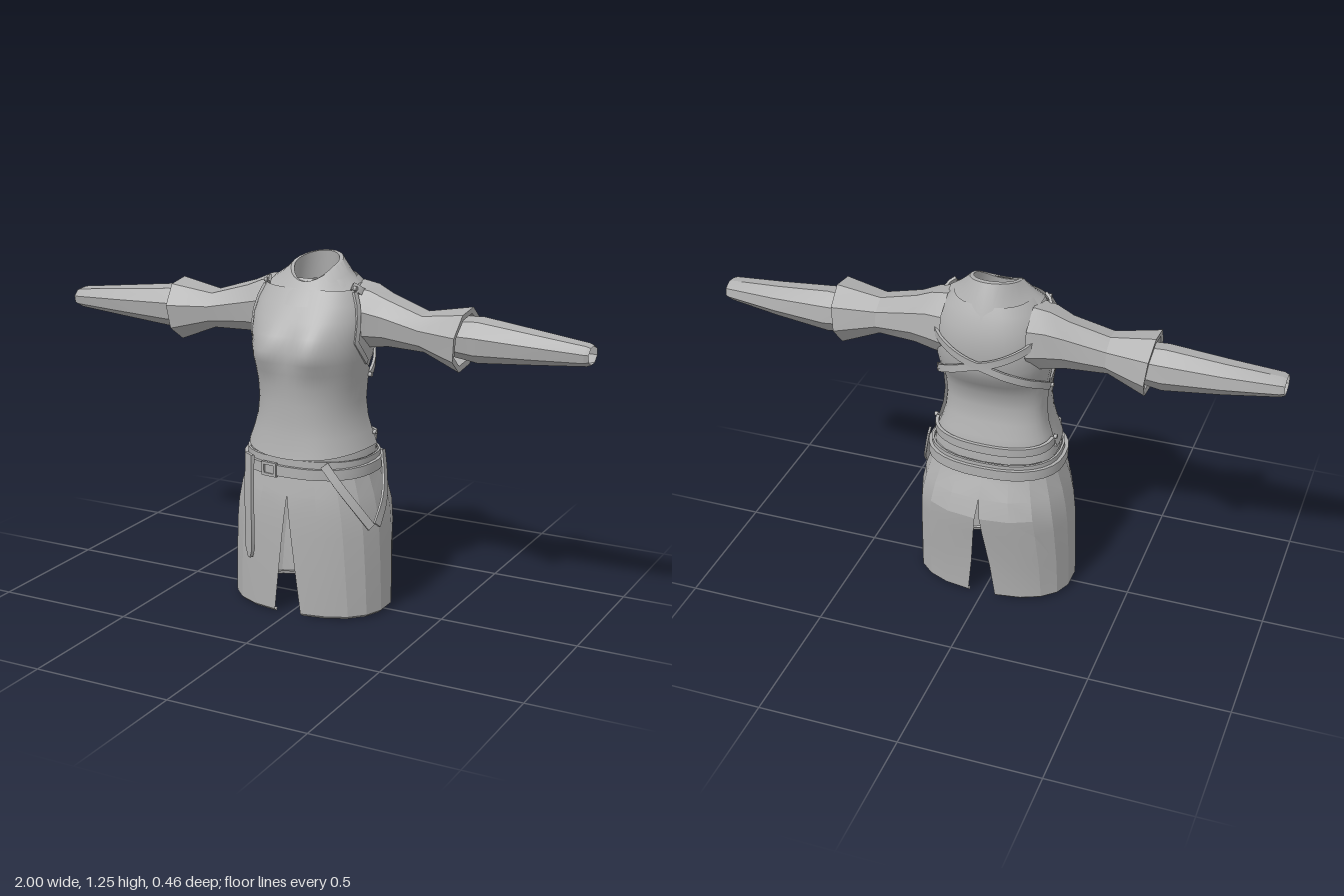
import * as THREE from 'three';
import { toCreasedNormals } from 'three/addons/utils/BufferGeometryUtils.js';

const V = (x, y, z) => new THREE.Vector3(x, y, z);
const cloth = new THREE.MeshStandardMaterial({ color: 0xb0b0b0, side: THREE.DoubleSide });
cloth.name = 'grey cloth';
const RAD = Math.PI / 180;

// Cross-sections: height, half width, front z, back z
const TORSO = [
  [0.55, 0.222, 0.195, -0.14], [0.60, 0.217, 0.205, -0.14], [0.65, 0.198, 0.19, -0.13],
  [0.70, 0.183, 0.187, -0.112], [0.76, 0.176, 0.185, -0.103], [0.82, 0.18, 0.188, -0.112],
  [0.87, 0.188, 0.195, -0.145], [0.91, 0.196, 0.2, -0.175], [0.95, 0.202, 0.199, -0.19],
  [1.0, 0.206, 0.185, -0.195], [1.05, 0.205, 0.162, -0.195], [1.1, 0.193, 0.128, -0.185],
  [1.15, 0.17, 0.092, -0.165], [1.18, 0.135, 0.065, -0.15]];
const SHORTS = [
  [0, 0.29, 0.21, -0.185], [0.15, 0.288, 0.214, -0.195], [0.3, 0.282, 0.216, -0.222],
  [0.37, 0.275, 0.215, -0.23], [0.44, 0.26, 0.211, -0.21], [0.5, 0.24, 0.2, -0.18],
  [0.57, 0.225, 0.19, -0.16]];
const POW = 0.85;

function sectionAt(table, y) {
  let i = 0;
  while (i < table.length - 2 && y > table[i + 1][0]) i++;
  const t = THREE.MathUtils.clamp((y - table[i][0]) / (table[i + 1][0] - table[i][0]), 0, 1);
  return table[i].map((v, k) => THREE.MathUtils.lerp(v, table[i + 1][k], t));
}

// Point on a body surface; angle 0 is the front, 90 degrees is +x
function surf(table, a, y, off = 0) {
  const [, w, zf, zb] = sectionAt(table, y);
  const zc = table === TORSO ? -0.02 : 0;
  const s = Math.sin(a), c = Math.cos(a);
  const x = (w + off) * Math.sign(s) * Math.abs(s) ** POW;
  const depth = c > 0 ? zf - zc + off : zc - zb + off;
  let z = zc + depth * Math.sign(c) * Math.abs(c) ** POW;
  if (table === TORSO && c > 0)
    z += 0.032 * Math.exp(-((Math.abs(x) - 0.09) ** 2) / 0.004 - (y - 0.95) ** 2 / 0.004);
  return V(x, y, z);
}

// Skin a list of equal-length rings
function loft(rings, wrap = true, crease = 30) {
  const n = rings[0].length, pos = [], idx = [];
  rings.forEach(r => r.forEach(p => pos.push(p.x, p.y, p.z)));
  for (let i = 0; i < rings.length - 1; i++)
    for (let j = 0; j < (wrap ? n : n - 1); j++) {
      const a = i * n + j, b = i * n + (j + 1) % n;
      idx.push(a, b, b + n, a, b + n, a + n);
    }
  const g = new THREE.BufferGeometry();
  g.setAttribute('position', new THREE.Float32BufferAttribute(pos, 3));
  g.setIndex(idx);
  g.computeVertexNormals();
  return toCreasedNormals(g, crease * RAD);
}

// Flat strap swept along points, its thickness facing away from the body axis
function strap(pts, width, thick, closed = false, tip = 0) {
  const n = pts.length;
  const rings = pts.map((p, i) => {
    const t = pts[closed ? (i + 1) % n : Math.min(i + 1, n - 1)].clone()
      .sub(pts[closed ? (i + n - 1) % n : Math.max(i - 1, 0)]).normalize();
    const out = V(p.x, 0, p.z + 0.01).normalize();
    out.addScaledVector(t, -out.dot(t)).normalize();
    const side = t.clone().cross(out).multiplyScalar(tip && i === n - 1 ? tip : width / 2);
    const outer = p.clone().addScaledVector(out, thick);
    return [p.clone().add(side), outer.clone().add(side), outer.clone().sub(side), p.clone().sub(side)];
  });
  if (closed) rings.push(rings[0]);
  else {
    const cap = r => r.map(() => r[0].clone().add(r[2]).multiplyScalar(0.5));
    rings.unshift(cap(rings[0]));
    rings.push(cap(rings[rings.length - 1]));
  }
  return loft(rings, true, 35);
}

const range = (n, f) => Array.from({ length: n + 1 }, (_, i) => f(i / n));
const smoothPath = (pts, n) => new THREE.CatmullRomCurve3(pts).getPoints(n);

// Octagonal rings along x: [x, centre y, radius y, centre z, radius z, lean]
const armRings = rows => rows.map(([x, yc, ry, zc, rz, lean = 0]) =>
  range(7, t => {
    const a = (t * 7 / 8) * Math.PI * 2 + 0.25;
    return V(x + lean * Math.sin(a), yc + ry * Math.sin(a), zc + rz * Math.cos(a));
  }));

export function createModel() {
  const model = new THREE.Group();
  model.name = 'outfit';
  const add = (name, geo, parent = model) => {
    const m = new THREE.Mesh(geo, cloth);
    m.name = name;
    parent.add(m);
    return m;
  };

  // Undershirt and front vest panel
  const ys = TORSO.map(r => r[0]);
  add('undershirt', loft(ys.map(y =>
    range(35, t => surf(TORSO, t * 35 / 36 * Math.PI * 2, y))), true, 50));
  const vestEdge = y => (y < 0.86 ? 93 : THREE.MathUtils.lerp(93, 66, Math.min(1, (y - 0.86) / 0.12))) * RAD;
  const vestRow = (y, off) => range(30, t => {
    const a = (t * 2 - 1) * vestEdge(y);
    const p = surf(TORSO, a, y, off);
    if (y <= 0.6) p.y -= 0.025 * Math.cos(a) ** 2;
    return p;
  });
  const vestYs = ys.slice(1, -1);
  add('vest', loft([vestRow(0.6, 0), ...vestYs.map(y => vestRow(y, 0.012))], false, 50));

  // Edging along the open back hem
  add('backHem', strap(range(24, t => surf(TORSO, (94 + t * 172) * RAD,
    0.625 - 0.015 * Math.sin(t * Math.PI))), 0.032, 0.012));

  // Slanted cowl collar, folded inward at the top
  const collarRow = (w, zf, zb, yf, ys_, yb) => range(23, t => {
    const a = t * 23 / 24 * Math.PI * 2, c = Math.cos(a);
    const y = c > 0 ? THREE.MathUtils.lerp(ys_, yf, c ** 1.5) : THREE.MathUtils.lerp(ys_, yb, -c);
    const mid = (zf + zb) / 2;
    return V(w * Math.sin(a), y, mid + (zf - zb) / 2 * c);
  });
  add('collar', loft([
    collarRow(0.165, 0.145, -0.175, 1.095, 1.165, 1.125),
    collarRow(0.12, 0.118, -0.152, 1.135, 1.195, 1.185),
    collarRow(0.088, 0.085, -0.118, 1.172, 1.225, 1.25),
    collarRow(0.076, 0.072, -0.1, 1.17, 1.225, 1.25),
    collarRow(0.085, 0.08, -0.11, 1.1, 1.14, 1.15)], true, 40));

  // Arms and crossing harness, mirrored
  for (const s of [1, -1]) {
    const side = new THREE.Group();
    side.name = s > 0 ? 'leftSide' : 'rightSide';
    side.scale.x = s;
    model.add(side);
    add('sleeve', loft(armRings([
      [0.15, 1.05, 0.12, -0.05, 0.12], [0.21, 1.05, 0.11, -0.05, 0.105],
      [0.27, 1.04, 0.092, -0.047, 0.085], [0.41, 1.018, 0.07, -0.03, 0.08],
      [0.555, 1.005, 0.112, -0.03, 0.118, 0.012], [0.553, 1.005, 0.09, -0.03, 0.095, 0.012],
      [0.45, 1.01, 0.062, -0.032, 0.07]]), true, 22), side);
    add('forearm', loft(armRings([
      [0.44, 1.012, 0.06, -0.04, 0.07], [0.6, 1.007, 0.079, -0.045, 0.078],
      [0.8, 1.005, 0.058, -0.036, 0.067], [0.985, 1.005, 0.038, -0.022, 0.053],
      [1.0, 1.005, 0.032, -0.022, 0.046]]), true, 22), side);
    add('harnessStrap', strap(range(30, t =>
      surf(TORSO, (68 + t * 198) * RAD, 1.16 - 0.315 * t, 0.008)), 0.026, 0.01), side);
    add('armholeTrim', strap(range(12, t => {
      const y = 0.9 + 0.24 * t;
      return surf(TORSO, vestEdge(y), y, 0.008);
    }), 0.018, 0.01), side);
    for (const [a, y] of [[68, 1.155], [91, 0.845], [92, 0.64]]) {
      const stud = add('stud', new THREE.CylinderGeometry(0.008, 0.008, 0.012, 8), side);
      stud.position.copy(surf(TORSO, a * RAD, y, 0.02));
      stud.rotation.z = Math.PI / 2;
    }

    // One half of the split shorts, with a turned hem
    const half = (y, off = 0) => {
      const gap = 0.052 * Math.max(0, 1 - y / 0.44);
      const a0 = Math.asin((gap / sectionAt(SHORTS, y)[1]) ** (1 / POW));
      return range(9, t => surf(SHORTS, a0 + t * (Math.PI - 2 * a0), y, off));
    };
    add('shortsLeg', loft([half(0.012, -0.014), half(0, -0.01), half(0.01),
      ...SHORTS.slice(1).map(r => half(r[0]))], false, 18), side);
  }

  // Waistband and tilted belt
  const hoop = (y, tilt, off) => range(31, t => {
    const a = t * 31 / 32 * Math.PI * 2;
    return surf(SHORTS, a, y - tilt * Math.cos(a), off);
  });
  add('waistband', strap(hoop(0.553, 0, 0), 0.035, 0.008, true));
  add('belt', strap(hoop(0.532, 0.006, 0.002), 0.038, 0.014, true));

  // Buckle frame
  const frame = new THREE.Shape([[-0.03, -0.025], [0.03, -0.025], [0.03, 0.025], [-0.03, 0.025]]
    .map(p => new THREE.Vector2(...p)));
  frame.holes.push(new THREE.Path([[-0.02, -0.015], [-0.02, 0.015], [0.02, 0.015], [0.02, -0.015]]
    .map(p => new THREE.Vector2(...p))));
  const buckle = add('buckle', new THREE.ExtrudeGeometry(frame, { depth: 0.012, bevelEnabled: false }));
  buckle.position.set(-0.07, 0.527, 0.2);
  buckle.rotation.y = -0.12;

  // Hanging belt end
  add('beltEnd', strap([V(-0.148, 0.57, 0.197), V(-0.148, 0.5, 0.2), V(-0.148, 0.4, 0.203),
    V(-0.147, 0.225, 0.203), V(-0.146, 0.19, 0.203)], 0.052, 0.012, false, 0.008));

  // Two hip straps hanging on the left side
  add('frontHipStrap', strap(smoothPath([V(0.135, 0.565, 0.19), V(0.19, 0.49, 0.18),
    V(0.245, 0.41, 0.155), V(0.282, 0.345, 0.125)], 10), 0.03, 0.008));
  add('rearHipStrap', strap(smoothPath([V(0.24, 0.575, -0.045), V(0.258, 0.5, -0.025),
    V(0.283, 0.42, 0.03), V(0.288, 0.345, 0.095)], 10), 0.034, 0.008));

  return model;
}
